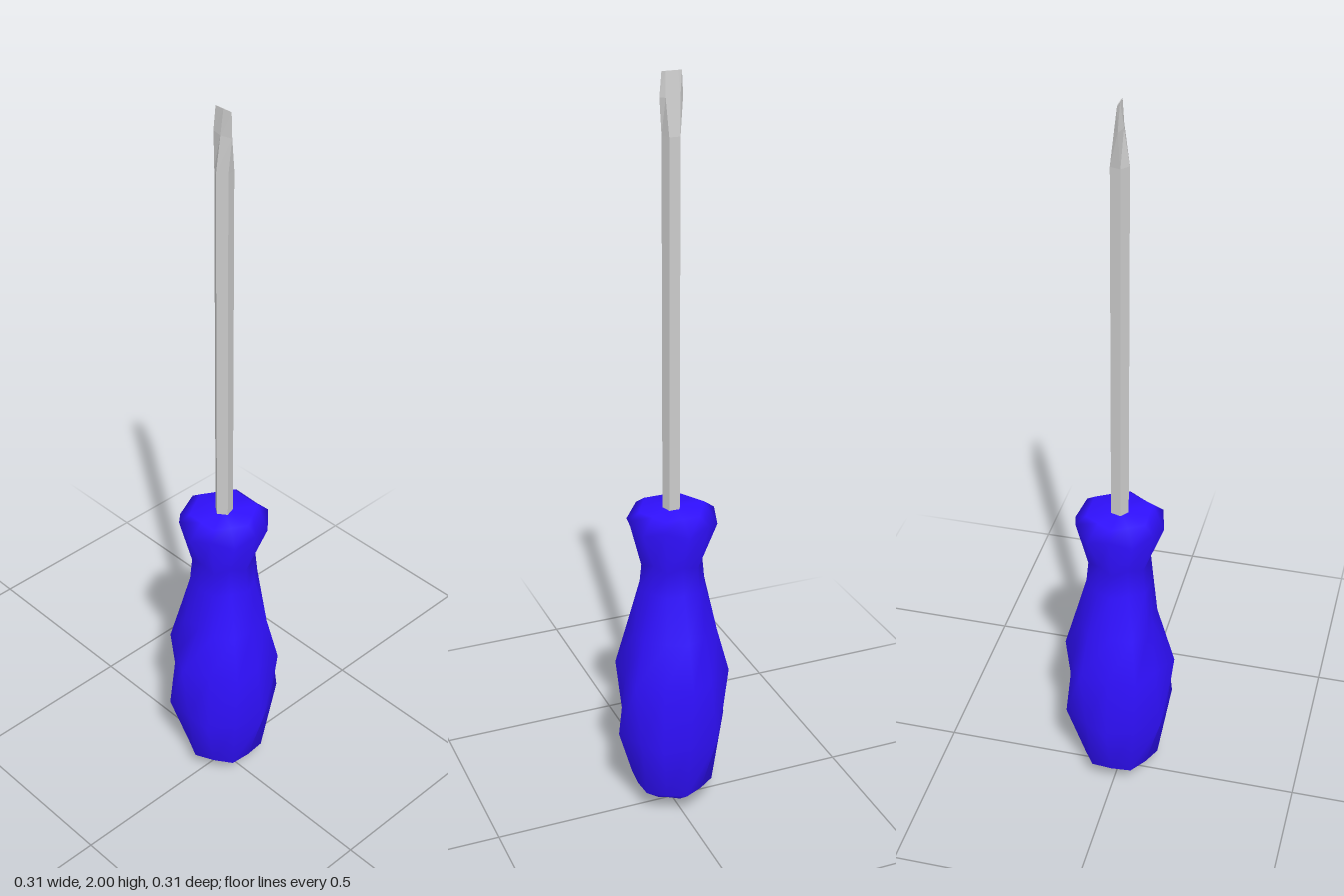
import * as THREE from 'three';
import { mergeVertices } from 'three/addons/utils/BufferGeometryUtils.js';

// Skin a stack of closed rings; point(i, j) gives corner j of ring i, rings run upward
function loft(rings, sides, point) {
  const pos = [], index = [];
  for (let i = 0; i < rings; i++) {
    for (let j = 0; j < sides; j++) {
      pos.push(...point(i, j));
      if (i === rings - 1) continue;
      const a = i * sides + j, b = i * sides + (j + 1) % sides;
      const c = a + sides, d = b + sides;
      index.push(a, c, b, b, c, d);
    }
  }
  const geometry = new THREE.BufferGeometry();
  geometry.setAttribute('position', new THREE.Float32BufferAttribute(pos, 3));
  geometry.setIndex(index);
  const merged = mergeVertices(geometry, 1e-5);
  merged.computeVertexNormals();
  return merged;
}

// Faceted grip: twelve columns alternating between two [radius, height] profiles
const EVEN = [[0, 0], [0.05, 0.03], [0.1, 0.07], [0.153, 0.24], [0.133, 0.42], [0.106, 0.54],
  [0.092, 0.67], [0.085, 0.74], [0.118, 0.87], [0.09, 0.89], [0, 0.89]];
const ODD = [[0, 0], [0.06, 0.03], [0.11, 0.07], [0.133, 0.24], [0.153, 0.42], [0.12, 0.54],
  [0.085, 0.67], [0.076, 0.75], [0.118, 0.85], [0.078, 0.89], [0, 0.89]];

function gripPoint(i, j) {
  const [radius, y] = (j % 2 ? ODD : EVEN)[i];
  const r = i === 5 && j === 3 ? 0.09 : radius; // thumb hollow at the front
  const a = j * Math.PI / 6;
  return [r * Math.cos(a), y, r * Math.sin(a)];
}

// Five-sided rod flattening into a flared blade: [height, x scale, z scale]
const ROD = [[0.86, 0, 0], [0.86, 1, 1], [1.85, 1, 1], [1.94, 1.3, 0.42], [2, 1.12, 0.04], [2, 0, 0]];

function rodPoint(i, j) {
  const [y, sx, sz] = ROD[i];
  const a = Math.PI / 2 + j * Math.PI * 2 / 5;
  return [0.024 * sx * Math.cos(a), y, 0.024 * sz * Math.sin(a)];
}

export function createModel() {
  const group = new THREE.Group();

  const handle = new THREE.Mesh(
    loft(EVEN.length, 12, gripPoint),
    new THREE.MeshStandardMaterial({ color: 0x3010ff })
  );
  handle.name = 'handle';

  const shaft = new THREE.Mesh(
    loft(ROD.length, 5, rodPoint),
    new THREE.MeshStandardMaterial({ color: 0xcccccc, flatShading: true })
  );
  shaft.name = 'shaftAndBlade';

  group.add(handle, shaft);
  return group;
}
